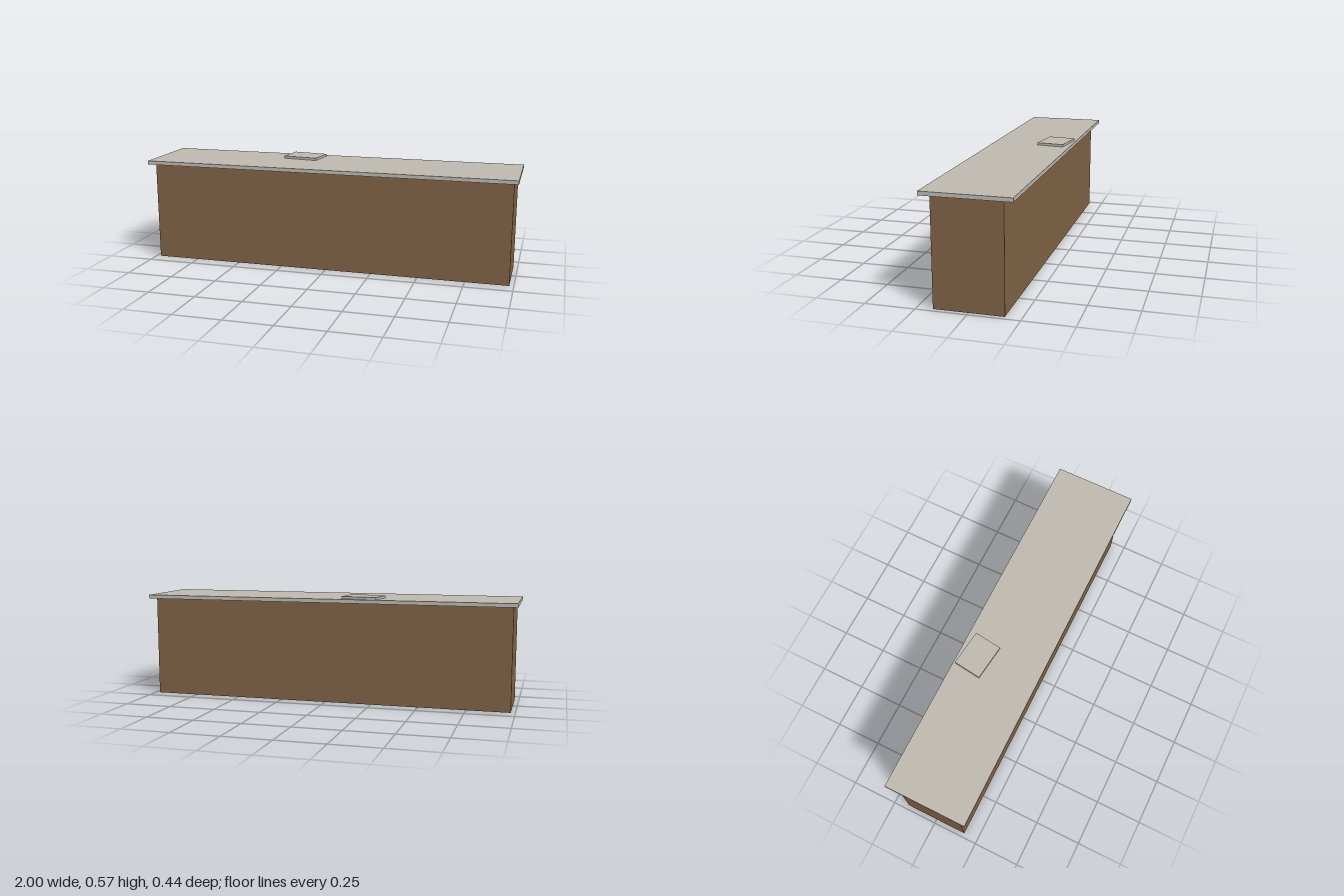
import * as THREE from 'three';

const wood = new THREE.MeshStandardMaterial({ name: 'brown wood', color: 0x806245 });
const stone = new THREE.MeshStandardMaterial({ name: 'pale grey stone', color: 0xbdb9b0 });

// Box standing on height y
function box(name, material, [w, h, d], [x, y, z]) {
  const mesh = new THREE.Mesh(new THREE.BoxGeometry(w, h, d), material);
  mesh.name = name;
  mesh.position.set(x, y + h / 2, z);
  return mesh;
}

export function createModel() {
  const counter = new THREE.Group();
  counter.name = 'counter';

  // Solid base with an overhanging worktop
  counter.add(box('base', wood, [1.954, 0.538, 0.342], [0, 0, 0]));
  counter.add(box('worktop', stone, [2, 0.02, 0.438], [0, 0.538, 0]));

  // Flat slab lying slightly turned near the back edge
  const slab = box('slab', stone, [0.193, 0.013, 0.149], [-0.198, 0.558, -0.122]);
  slab.rotation.y = -0.125;
  counter.add(slab);

  return counter;
}
